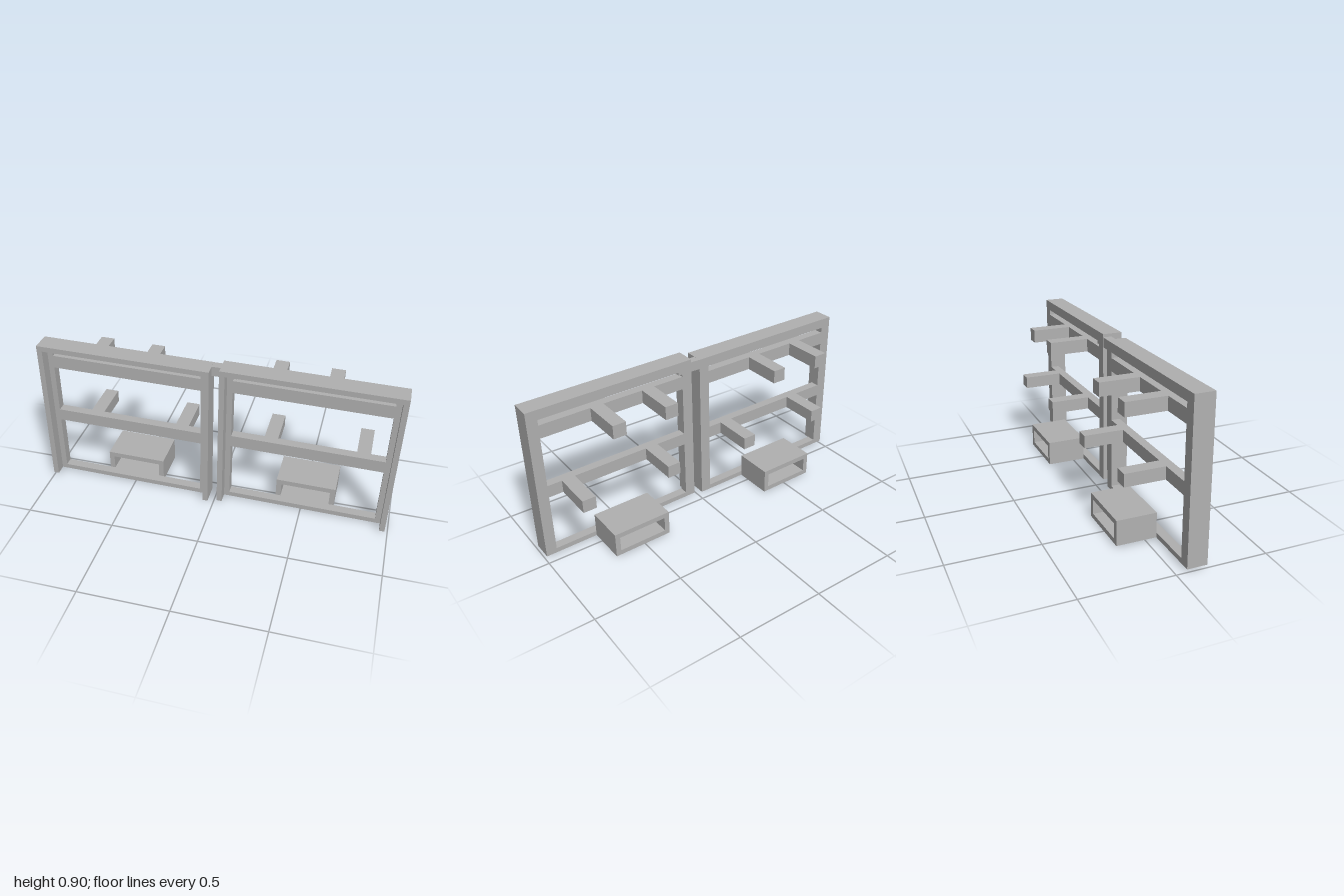
import * as THREE from 'three';

const BACK = 0.057, MID = 0.107, FRONT = 0.167, REAR = -0.166;
const W = 0.4825, H = 0.441; // half size of one panel

export function createModel() {
  const group = new THREE.Group();
  const grey = new THREE.MeshStandardMaterial({ color: 0xb0b0b0 });

  // box given by its limits on each axis
  function box(parent, name, x0, x1, y0, y1, z0, z1) {
    const mesh = new THREE.Mesh(new THREE.BoxGeometry(x1 - x0, y1 - y0, z1 - z0), grey);
    mesh.position.set((x0 + x1) / 2, (y0 + y1) / 2, (z0 + z1) / 2);
    mesh.name = name;
    parent.add(mesh);
  }

  function rect(path, x0, x1, y0, y1) {
    path.moveTo(x0, y0);
    path.lineTo(x1, y0);
    path.lineTo(x1, y1);
    path.lineTo(x0, y1);
    path.closePath();
    return path;
  }

  // rectangle with rectangular openings, extruded along z
  function plate(parent, name, outline, holes, z0, z1) {
    const shape = rect(new THREE.Shape(), ...outline);
    holes.forEach(h => shape.holes.push(rect(new THREE.Path(), ...h)));
    const geometry = new THREE.ExtrudeGeometry(shape, { depth: z1 - z0, bevelEnabled: false });
    const mesh = new THREE.Mesh(geometry, grey);
    mesh.position.z = z0;
    mesh.name = name;
    parent.add(mesh);
  }

  function panel(name, x) {
    const p = new THREE.Group();
    p.name = name;
    p.position.set(x, 0.45, 0);
    p.rotation.z = -0.0182; // both panels lean slightly
    // back lattice: top slot, two large openings
    const inner = 0.422;
    plate(p, 'backFrame', [-W, W, -H, H], [
      [-inner, inner, 0.355, 0.386],
      [-inner, inner, -0.005, 0.28],
      [-inner, inner, -0.413, -0.076],
    ], BACK, MID);
    // front rim: side walls and top, open at the bottom
    box(p, 'sideWall', -W, -W + 0.03, -H, H - 0.03, MID, FRONT);
    box(p, 'sideWall', W - 0.03, W, -H, H - 0.03, MID, FRONT);
    box(p, 'topRail', -W, W, H - 0.03, H, MID, FRONT);
    // arms reaching backwards
    for (const c of [-0.205, 0.1]) box(p, 'upperArm', c - 0.0375, c + 0.0375, 0.28, 0.355, REAR, BACK);
    for (const c of [-0.205, 0.303]) box(p, 'middleArm', c - 0.0375, c + 0.0375, -0.076, -0.005, REAR, BACK);
    // open box at the bottom
    plate(p, 'openBox', [-0.157, 0.181, -H, -0.299], [[-0.128, 0.152, -0.413, -0.328]], REAR, BACK);
    group.add(p);
  }

  panel('rightPanel', -0.51);
  panel('leftPanel', 0.51);

  // bar joining the two panels
  box(group, 'connector', -0.08, 0.117, 0.826, 0.882, BACK + 0.001, MID - 0.001);
  return group;
}
